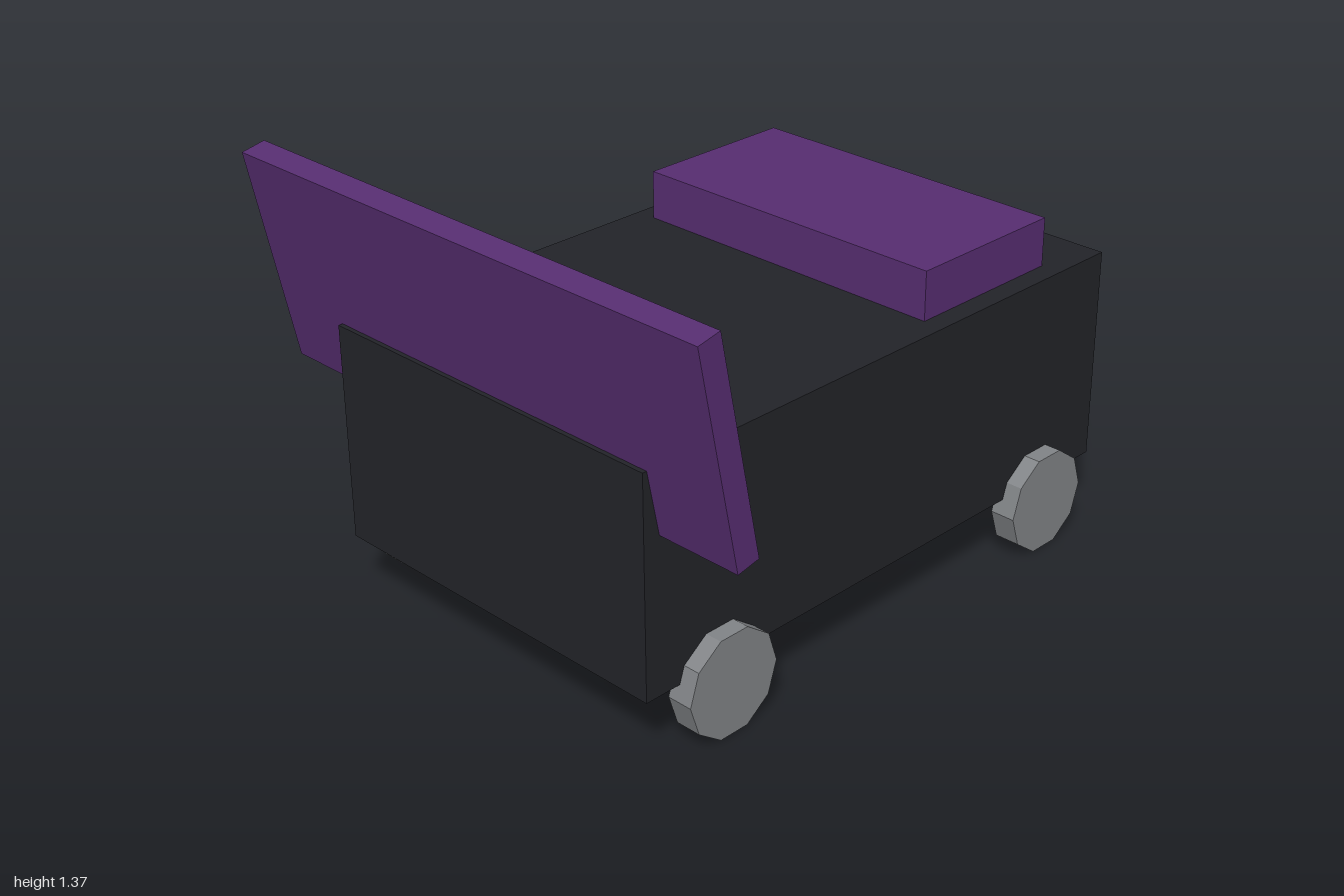
import * as THREE from 'three';

const paint = (color) => new THREE.MeshStandardMaterial({ color, flatShading: true });

export function createModel() {
  const model = new THREE.Group();
  const dark = paint(0x222328);
  const purple = paint(0x562d70);
  const grey = paint(0x808386);

  const add = (name, geometry, material, x, y, z) => {
    const mesh = new THREE.Mesh(geometry, material);
    mesh.name = name;
    mesh.position.set(x, y, z);
    model.add(mesh);
    return mesh;
  };

  // Main body block
  add('body', new THREE.BoxGeometry(1.23, 0.683, 1.92), dark, 0, 0.543, -0.04);

  // Raised slab on the rear deck
  add('rearDeck', new THREE.BoxGeometry(1.094, 0.18, 0.545), purple, 0, 0.949, -0.519);

  // Wide front panel, leaning forward through the body
  const panel = add('frontPanel', new THREE.BoxGeometry(1.78, 0.68, 0.077), purple, 0, 1.025, 0.895);
  panel.rotation.x = 0.2;

  // Four ten-sided wheels
  const wheel = new THREE.CylinderGeometry(0.165, 0.165, 0.082, 10).rotateZ(Math.PI / 2);
  for (const [end, z] of [['front', 0.648], ['rear', -0.725]]) {
    for (const [side, s] of [['Left', 1], ['Right', -1]]) {
      add(`${end}${side}Wheel`, wheel, grey, s * 0.628, 0.157, z);
    }
  }
  return model;
}
